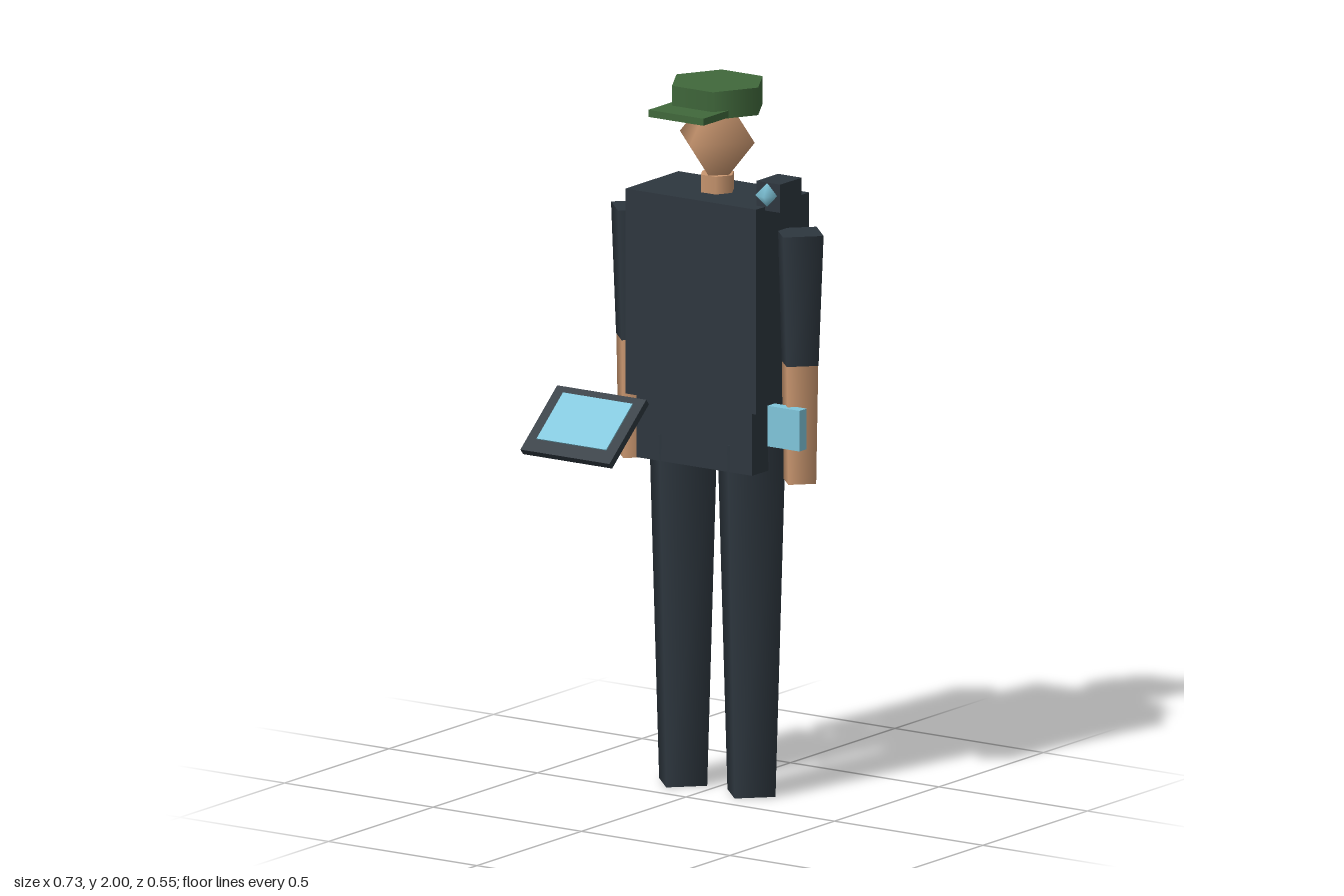
import * as THREE from 'three';

const paint = (name, color) => {
  const m = new THREE.MeshStandardMaterial({ color });
  m.name = name;
  return m;
};

export function createModel() {
  const group = new THREE.Group();
  const dark = paint('dark uniform', 0x2d363e);
  const skin = paint('skin', 0xc9966f);
  const green = paint('cap green', 0x40683b);
  const blue = paint('screen blue', 0x7fc5da);

  const CX = 0.005, CZ = -0.143; // body axis

  const add = (name, geometry, material, x, y, z, parent = group) => {
    const mesh = new THREE.Mesh(geometry, material);
    mesh.name = name;
    mesh.position.set(x, y, z);
    parent.add(mesh);
    return mesh;
  };
  const box = (name, mat, w, h, d, x, y, z, parent) =>
    add(name, new THREE.BoxGeometry(w, h, d), mat, x, y, z, parent);
  // Upright tapered prism between two heights
  const limb = (name, mat, rTop, rBottom, y0, y1, x, sides) =>
    add(name, new THREE.CylinderGeometry(rTop, rBottom, y1 - y0, sides), mat, x, (y0 + y1) / 2, CZ);

  // Trunk
  box('torso', dark, 0.44, 0.58, 0.254, CX, 1.4, CZ);
  box('pelvis', dark, 0.39, 0.18, 0.22, CX, 1.02, CZ);

  // Limbs, four-sided
  for (const [side, s] of [['left', 1], ['right', -1]]) {
    limb(side + 'Leg', dark, 0.115, 0.081, 0, 1.005, CX + s * 0.115, 4);
    limb(side + 'Sleeve', dark, 0.08, 0.063, 1.24, 1.61, CX + s * 0.278, 4);
    limb(side + 'Forearm', skin, 0.062, 0.055, 0.905, 1.24, CX + s * 0.278, 4);
  }

  // Neck and head
  const neck = limb('neck', skin, 0.05, 0.05, 1.68, 1.74, CX, 6);
  neck.rotation.y = Math.PI / 2;
  const head = add('head', new THREE.SphereGeometry(1, 4, 2), skin, CX, 1.842, CZ);
  head.scale.set(0.126, 0.15, 0.132);

  // Cap with brim
  const cap = limb('cap', green, 0.1375, 0.1375, 1.922, 2, CX, 6);
  cap.rotation.y = Math.PI / 2;
  box('capBrim', green, 0.185, 0.02, 0.155, CX, 1.934, -0.0225);

  // Shoulder camera
  box('shoulderCamera', dark, 0.08, 0.08, 0.103, 0.237, 1.72, -0.109);
  const lens = add('cameraLens', new THREE.SphereGeometry(0.033, 5, 2), blue, 0.238, 1.727, -0.05);
  lens.rotation.y = Math.PI;

  // Wrist display
  box('wristDisplay', blue, 0.108, 0.115, 0.034, 0.281, 1.068, -0.085);

  // Tilted tablet held out in front
  const tablet = new THREE.Group();
  tablet.name = 'tablet';
  tablet.position.set(-0.215, 1.053, 0.179);
  tablet.rotation.x = -0.873;
  group.add(tablet);
  box('tabletBody', dark, 0.3, 0.23, 0.02, 0, 0, 0, tablet);
  box('tabletScreen', blue, 0.234, 0.165, 0.005, 0, 0.01, 0.011, tablet);

  return group;
}
